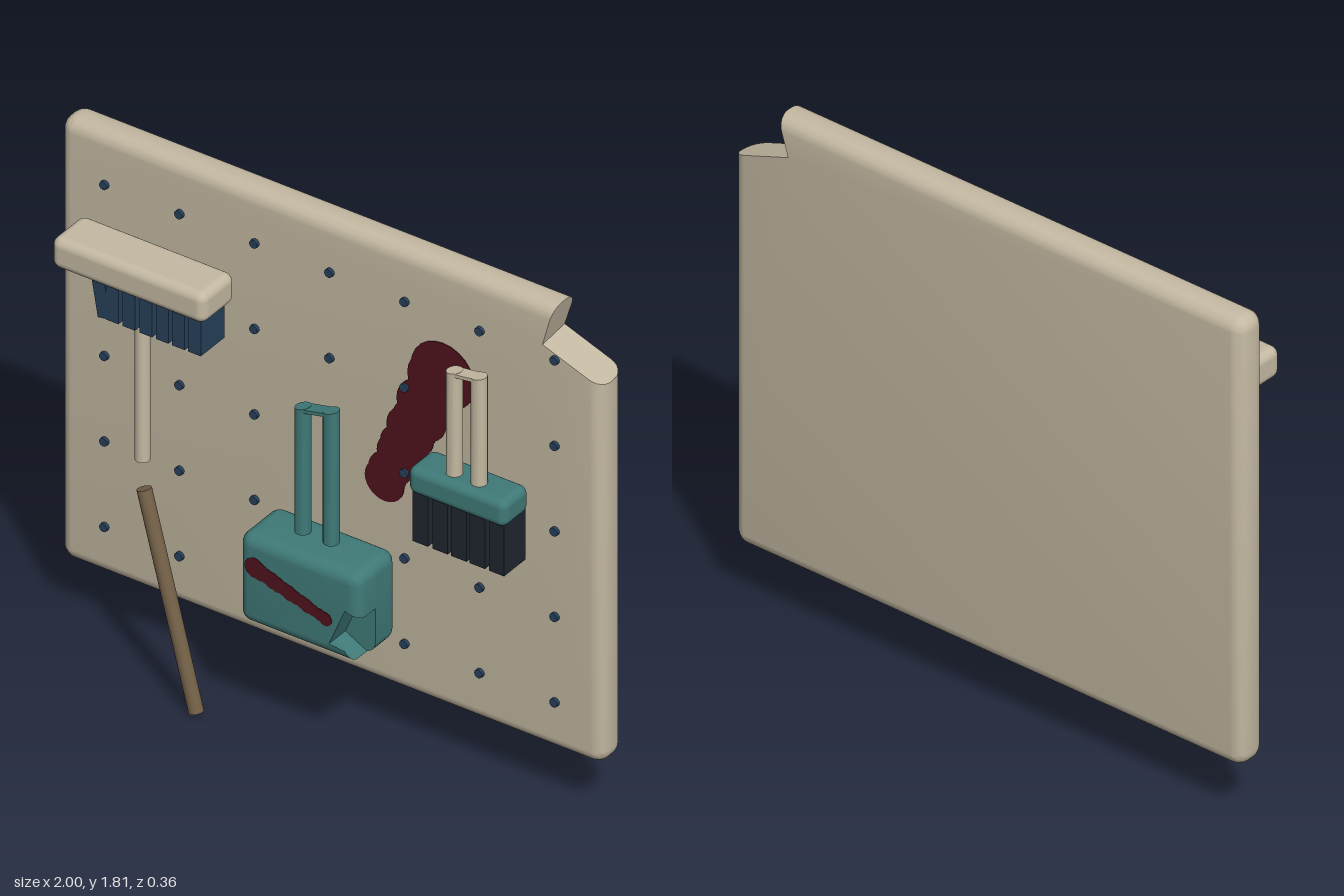
import * as THREE from 'three';
import { toCreasedNormals } from 'three/addons/utils/BufferGeometryUtils.js';
import { RoundedBoxGeometry } from 'three/addons/geometries/RoundedBoxGeometry.js';

const mat = (color) => new THREE.MeshStandardMaterial({ color });
const beige = mat(0xc4b9a2), teal = mat(0x3f7a78), navy = mat(0x26405a);
const dark = mat(0x20262f), red = mat(0x50121c), wood = mat(0x736047);

// Rounded slab lofted along z; notch(d, z) returns points that replace one corner.
// Corners run counter-clockwise from bottom left; steps are [z, inset] from back to front.
function slab([x0, x1, y0, y1], r, steps, notchCorner = -1, notch = null) {
  const rings = steps.map(([z, d]) => {
    const pts = [];
    [[x0, y0, 1, 1], [x1, y0, -1, 1], [x1, y1, -1, -1], [x0, y1, 1, -1]].forEach(([x, y, sx, sy], c) => {
      if (c === notchCorner) return pts.push(...notch(d, z).map(([px, py]) => new THREE.Vector2(px, py)));
      for (let i = 0; i <= 6; i++) {
        const a = Math.PI + c * Math.PI / 2 + i * Math.PI / 12, q = Math.max(r - d, 0.002);
        pts.push(new THREE.Vector2(x + sx * r + q * Math.cos(a), y + sy * r + q * Math.sin(a)));
      }
    });
    return { z, pts };
  });
  const pos = [], n = rings[0].pts.length;
  const put = (k, i) => pos.push(rings[k].pts[i].x, rings[k].pts[i].y, rings[k].z);
  for (let k = 0; k + 1 < rings.length; k++) {
    for (let i = 0; i < n; i++) {
      const j = (i + 1) % n;
      put(k, i); put(k, j); put(k + 1, j);
      put(k, i); put(k + 1, j); put(k + 1, i);
    }
  }
  const last = rings.length - 1;
  for (const [a, b, c] of THREE.ShapeUtils.triangulateShape(rings[0].pts, [])) { put(0, c); put(0, b); put(0, a); }
  for (const [a, b, c] of THREE.ShapeUtils.triangulateShape(rings[last].pts, [])) { put(last, a); put(last, b); put(last, c); }
  const g = new THREE.BufferGeometry();
  g.setAttribute('position', new THREE.Float32BufferAttribute(pos, 3));
  return toCreasedNormals(g, 0.6);
}

// Quarter-round steps for the back or front edge of a slab
function roundEdge(z, r, dir) {
  const out = [];
  for (let i = 0; i <= 6; i++) {
    const a = i * Math.PI / 12;
    out.push([z + dir * r * (1 - Math.sin(a)), r * (1 - Math.cos(a))]);
  }
  return dir > 0 ? out.reverse() : out;
}

export function createModel() {
  const model = new THREE.Group();
  const add = (name, geo, material, x = 0, y = 0, z = 0, parent = model) => {
    const m = new THREE.Mesh(geo, material);
    m.name = name;
    m.position.set(x, y, z);
    parent.add(m);
    return m;
  };
  const group = (name) => {
    const g = new THREE.Group();
    g.name = name;
    model.add(g);
    return g;
  };

  // Board with a broken upper corner
  const R = 0.048;
  add('board', slab([-1, 1, 0.21, 1.81], R,
    [...roundEdge(-0.182, R, 1), ...roundEdge(-0.065, R, -1)], 2,
    (d, z) => {
      const s = -0.1 * (z + 0.065) - 0.004, right = 1 - d, top = 1.81 - d;
      return [[right, 1.59 + d * 0.36 + s], [0.78, 1.67 + s], [0.82 - d * 0.29, top]];
    }), beige);

  // Grid of pegs
  const pegs = group('pegs');
  const pegGeo = new THREE.CylinderGeometry(0.015, 0.015, 0.02, 12).rotateX(Math.PI / 2);
  for (let i = -3; i <= 3; i++)
    for (let j = 0; j < 5; j++) add('peg', pegGeo, navy, i * 0.276, 0.39 + j * 0.31, -0.063, pegs);

  // Stains: rows of thin overlapping discs
  function stain(name, [ax, ay, ar], [bx, by, br], n, z) {
    const g = group(name);
    for (let i = 0; i < n; i++) {
      const t = i / (n - 1), mid = i > 0 && i < n - 1;
      const r = (ar + (br - ar) * t) * (mid ? 0.88 + 0.06 * Math.sin(i * 2.3) : 1);
      const w = mid ? 0.1 * r * Math.sin(i * 4.1) : 0;
      add('blot', new THREE.CylinderGeometry(r, r, 0.003, 24).rotateX(Math.PI / 2), red,
        ax + (bx - ax) * t + w, ay + (by - ay) * t, z + i * 0.00005, g);
    }
  }
  stain('boardStain', [0.2, 0.95, 0.072], [0.415, 1.415, 0.117], 14, -0.0635);
  stain('canStain', [-0.107, 0.65, 0.036], [0.153, 0.565, 0.024], 13, 0.1805);

  // Bristle blocks hanging from a head
  function bristles(parent, xs, w, y0, y1, z, depth, material) {
    for (const x of xs)
      add('bristle', new THREE.BoxGeometry(w, y1 - y0, depth), material, x, (y0 + y1) / 2, z, parent);
  }

  // Broken broom: head, bristles, handle stub and loose stick
  const broom = group('broom');
  add('broomHead', new RoundedBoxGeometry(0.565, 0.11, 0.17, 5, 0.03), beige, -0.6025, 1.475, 0.06, broom);
  bristles(broom, [-0.666, -0.605, -0.542, -0.482, -0.422, -0.363], 0.046, 1.3, 1.44, 0.068, 0.125, navy);
  const bent = add('bentBristle', new THREE.BoxGeometry(0.046, 0.14, 0.125), navy, -0.708, 1.37, 0.068, broom);
  bent.rotation.z = 0.17;
  add('broomHandle', new THREE.CylinderGeometry(0.024, 0.024, 0.655, 20), beige, -0.607, 1.1125, 0.055, broom);
  const top = new THREE.Vector3(-0.575, 0.71, 0.092), foot = new THREE.Vector3(-0.35, 0.012, 0.14);
  const dir = top.clone().sub(foot);
  const stick = add('brokenStick', new THREE.CylinderGeometry(0.024, 0.024, dir.length(), 20), wood);
  stick.position.copy(top).add(foot).multiplyScalar(0.5);
  stick.quaternion.setFromUnitVectors(new THREE.Vector3(0, 1, 0), dir.normalize());

  // Two-post handle with a slanting top
  function loopHandle(parent, xa, xb, y0, yTop, slope, material) {
    const r = 0.026, z = 0.079, mid = (xa + xb) / 2;
    for (const x of [xa, xb]) {
      const h = yTop - y0, g = new THREE.CylinderGeometry(r, r, h, 20), p = g.attributes.position;
      for (let i = 0; i < p.count; i++)
        if (p.getY(i) > 0) p.setY(i, h / 2 + (p.getX(i) + x - mid) * slope);
      add('handlePost', toCreasedNormals(g, 0.6), material, x, y0 + h / 2, z, parent);
    }
    const bar = add('handleTop', new THREE.BoxGeometry(xb - xa, 0.012, 0.045), material, mid, yTop - 0.007, z, parent);
    bar.rotation.z = Math.atan(slope);
  }

  // Can with a chipped lower front corner
  const can = group('can');
  const C = 0.04, box = [-0.17, 0.275, 0.435, 0.755];
  add('canBack', slab(box, C, [...roundEdge(-0.025, C, 1), [0.092, 0]]), teal, 0, 0, 0, can);
  add('canFront', slab(box, C, [[0.092, 0], ...roundEdge(0.18, C, -1)], 1,
    (d) => [[0.245 - d * 0.5, 0.435 + d], [0.165, 0.478], [0.225, 0.62], [0.275 - d, 0.6 + d * 0.4]]), teal, 0, 0, 0, can);
  loopHandle(can, 0, 0.104, 0.77, 1.235, 0.22, teal);

  // Hand brush
  const brush = group('brush');
  add('brushHead', new RoundedBoxGeometry(0.36, 0.096, 0.135, 5, 0.028), teal, 0.6, 1.147, 0.068, brush);
  bristles(brush, [0.46, 0.533, 0.602, 0.67, 0.74], 0.056, 0.922, 1.11, 0.064, 0.112, dark);
  loopHandle(brush, 0.557, 0.648, 1.18, 1.574, 0.14, beige);

  return model;
}
